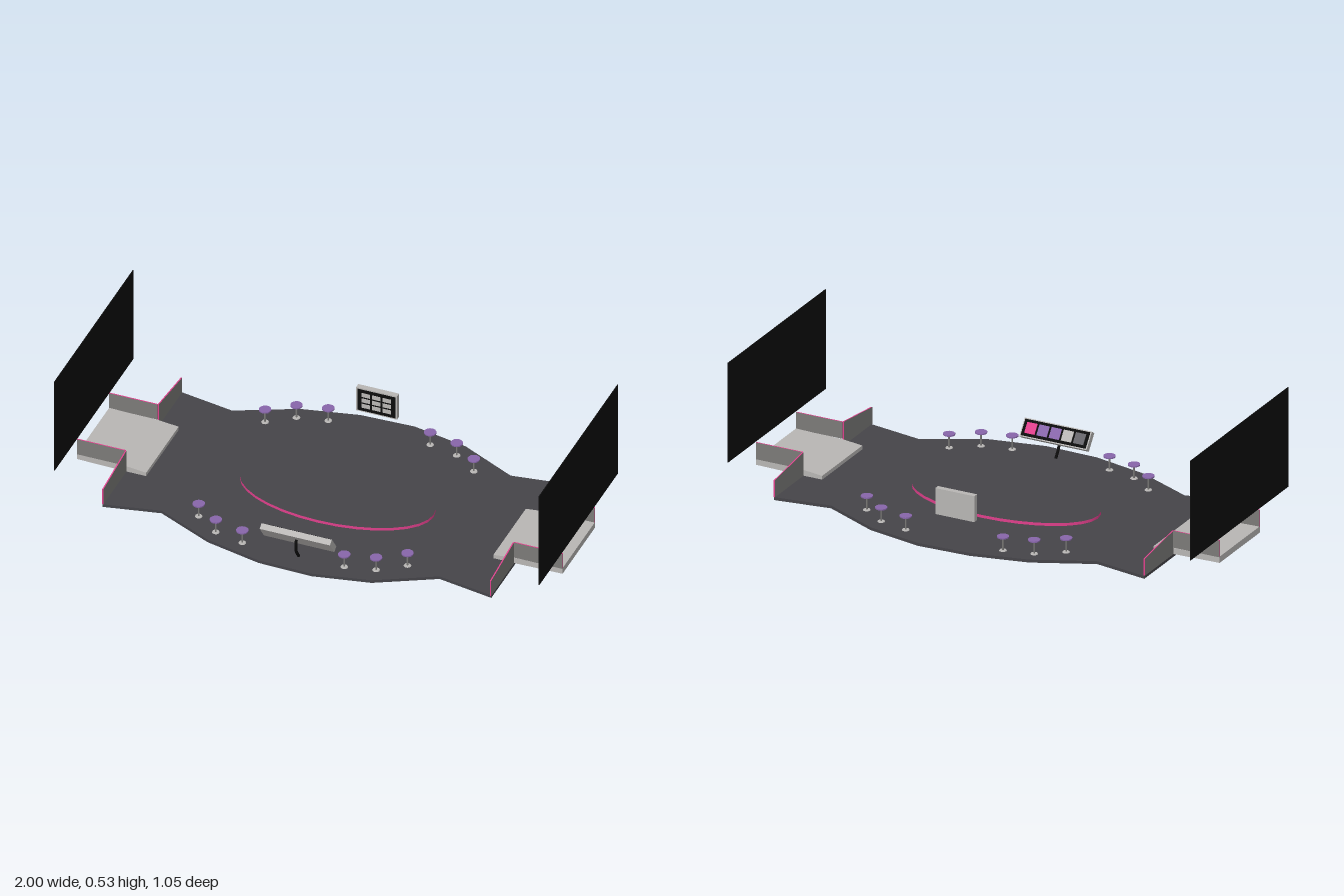
import * as THREE from 'three';

const mat = (name, color, side = THREE.FrontSide) => {
  const m = new THREE.MeshStandardMaterial({ color, side });
  m.name = name;
  return m;
};

export function createModel() {
  const root = new THREE.Group();
  root.name = 'studioStage';

  const floorMat = mat('charcoal floor', 0x454449);
  const black = mat('black', 0x0c0c0c);
  const light = mat('light grey', 0xb8b6b4);
  const grey = mat('mid grey', 0x7b7a78);
  const pink = mat('pink', 0xe0408c, THREE.DoubleSide);
  const purple = mat('purple', 0x8866aa);
  const dim = mat('dim grey', 0x66656a);

  const add = (parent, name, geo, material, x = 0, y = 0, z = 0) => {
    const m = new THREE.Mesh(geo, material);
    m.name = name;
    m.position.set(x, y, z);
    parent.add(m);
    return m;
  };
  const box = (w, h, d) => new THREE.BoxGeometry(w, h, d);
  const shapeOf = pts => new THREE.Shape(pts.map(p => new THREE.Vector2(...p)));
  const extrude = (shape, depth) =>
    new THREE.ExtrudeGeometry(shape, { depth, bevelEnabled: false, curveSegments: 24 });

  // Floor plate with an oval opening, drawn in x and z
  const ovalPoints = [];
  for (let i = 0; i < 32; i++) {
    const a = (i / 32) * Math.PI * 2;
    ovalPoints.push([0.007 + 0.395 * Math.cos(a), 0.2 * Math.sin(a)]);
  }
  const floorShape = shapeOf([
    [-0.8, -0.4], [-0.575, -0.36], [-0.34, -0.468], [-0.11, -0.518],
    [0.11, -0.526], [0.34, -0.478], [0.57, -0.365], [0.8, -0.397],
    [0.8, 0.393], [0.57, 0.352], [0.34, 0.474], [0.11, 0.52],
    [-0.11, 0.515], [-0.34, 0.462], [-0.575, 0.352], [-0.8, 0.398],
  ]);
  floorShape.holes.push(new THREE.Path(ovalPoints.map(p => new THREE.Vector2(...p))));
  add(root, 'floor', extrude(floorShape, 0.012).rotateX(Math.PI / 2), floorMat, 0, 0.012, 0);

  // Raised oval: dark lid with a glowing rim
  const lid = extrude(shapeOf(ovalPoints), 0.003).rotateX(Math.PI / 2);
  add(root, 'ovalPlatform', lid, [floorMat, pink], 0, 0.024, 0);
  const rim = new THREE.CylinderGeometry(1, 1, 0.021, 32, 1, true).scale(0.395, 1, 0.2);
  add(root, 'ovalRim', rim, pink, 0.007, 0.0115, 0);

  // Entrances and big screens at both ends
  for (const s of [-1, 1]) {
    const end = new THREE.Group();
    end.name = s > 0 ? 'leftEntrance' : 'rightEntrance';
    root.add(end);

    const ramp = shapeOf([[s, 0.016], [s, 0.042], [s * 0.8, 0.037],
      [s * 0.715, 0.028], [s * 0.715, 0.0125], [s * 0.8, 0.0125]]);
    add(end, 'ramp', extrude(ramp, 0.328), light, 0, 0, -0.164);

    for (const f of [-1, 1]) {
      // Wing panel beside the opening, with pink edges
      const wing = shapeOf([[f * 0.165, 0.012], [f * 0.165, 0.11],
        [f * 0.397, 0.082], [f * 0.397, 0.012]]);
      add(end, 'wingPanel', extrude(wing, 0.005).rotateY(-Math.PI / 2), [grey, pink],
        s * 0.7985 + 0.0025, 0, 0);
      // Corridor wall running out to the screen
      add(end, 'corridorWall', box(0.2, 0.07, 0.005), [pink, pink, pink, pink, grey, grey],
        s * 0.9, 0.075, f * 0.1635);
    }
    add(end, 'screen', box(0.004, 0.413, 0.797), black, s * 0.998, 0.3235, 0);
  }

  // Small round tables along the front and back edges
  const tables = [[0.43, 0.335], [0.33, 0.407], [0.21, 0.434]];
  for (const [tx, tz] of tables) {
    for (const sx of [-1, 1]) for (const sz of [-1, 1]) {
      const table = new THREE.Group();
      table.name = 'table';
      table.position.set(sx * tx, 0.012, sz * tz - 0.003);
      add(table, 'tableTop', new THREE.CylinderGeometry(0.024, 0.024, 0.005, 14), purple, 0, 0.058, 0);
      add(table, 'tableStem', new THREE.CylinderGeometry(0.0035, 0.0035, 0.054, 8), grey, 0, 0.029, 0);
      add(table, 'tableBase', new THREE.CylinderGeometry(0.013, 0.015, 0.003, 14), light, 0, 0.0015, 0);
      root.add(table);
    }
  }

  // Tilted front console, its display facing the stage
  const console_ = new THREE.Group();
  console_.name = 'frontConsole';
  console_.position.set(0.024, 0.107, 0.443);
  console_.rotation.x = 0.64;
  root.add(console_);
  add(console_, 'consoleCase', box(0.29, 0.075, 0.024), light);
  add(console_, 'consoleFace', box(0.28, 0.066, 0.003), black, 0, 0, -0.0125);
  [dim, light, purple, purple, pink].forEach((m, i) =>
    add(console_, 'consoleTile', box(0.044, 0.044, 0.004), m, (i - 2) * 0.0525, 0, -0.0145));

  // Bent console stand
  const standPath = new THREE.CatmullRomCurve3([
    [0.022, 0.108, 0.452], [0.022, 0.085, 0.459], [0.022, 0.05, 0.455], [0.022, 0.012, 0.43],
  ].map(p => new THREE.Vector3(...p)));
  add(root, 'consoleStand', new THREE.TubeGeometry(standPath, 12, 0.006, 8), black);

  // Hanging back board with a grid of cells
  const board = new THREE.Group();
  board.name = 'backBoard';
  board.position.set(-0.004, 0.16, -0.43);
  root.add(board);
  add(board, 'boardCase', box(0.168, 0.108, 0.022), light);
  add(board, 'boardFace', box(0.156, 0.097, 0.003), black, 0, 0, 0.011);
  for (let c = -1; c <= 1; c++) for (let r = -1; r <= 1; r++) {
    add(board, 'boardCell', box(0.034, 0.018, 0.003), light, c * 0.043, r * 0.025, 0.0125);
  }

  return root;
}
